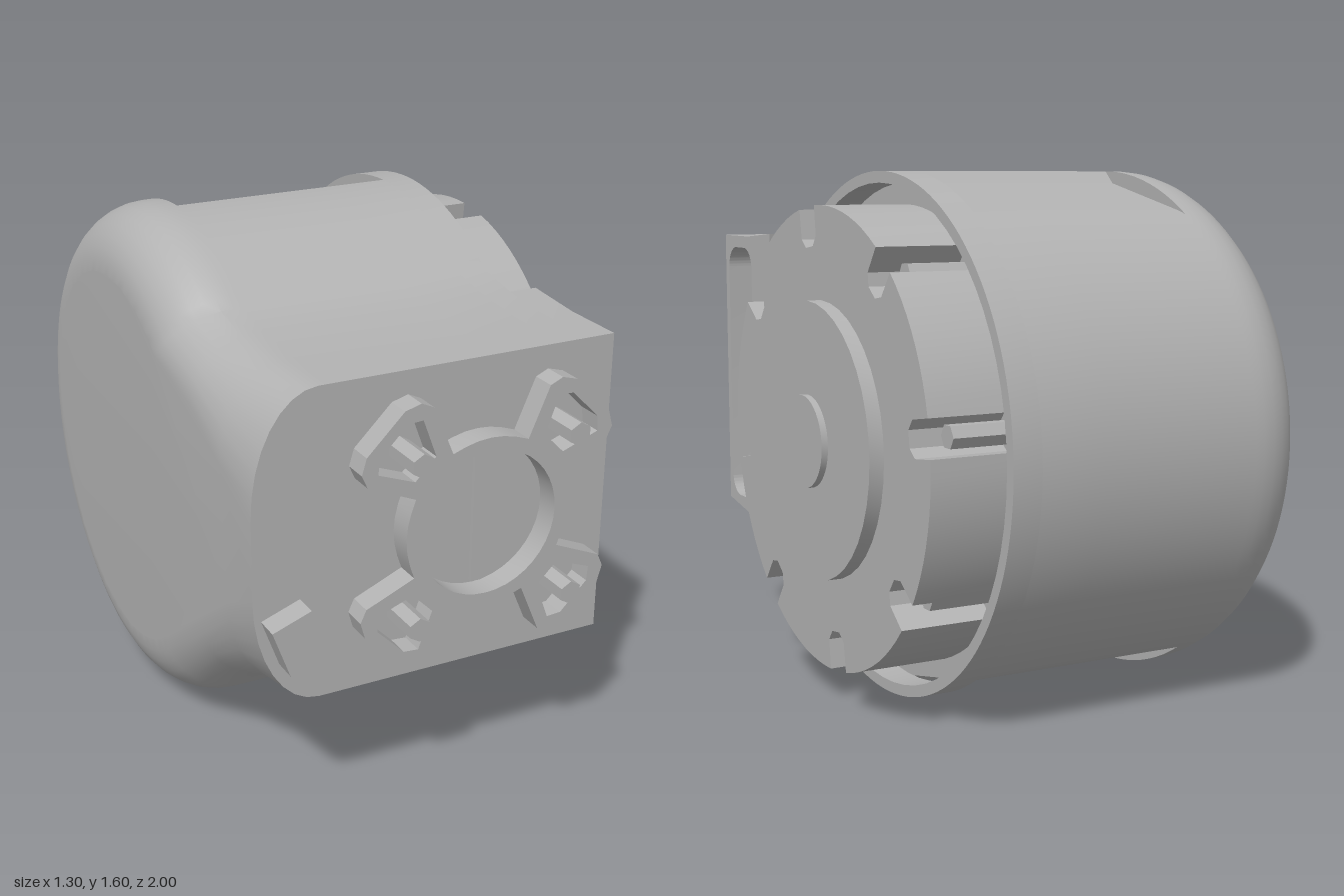
import * as THREE from 'three';
import { toCreasedNormals } from 'three/addons/utils/BufferGeometryUtils.js';

const AXIS_Y = 0.8, AXIS_A = 0.2; // drum axis; side profiles use a = -z
const rad = THREE.MathUtils.degToRad;
const V = (x, y) => new THREE.Vector2(x, y);

// Side profile of the housing: r = drum radius, k = neck height factor, cut = flats on the drum
function profile(r = 0.8, k = 1, cut = false) {
  const neck = (a, y, w) => V(a, 0.91 + (y - 0.91) * (w * k + (1 - w) * r / 0.8));
  const pts = [neck(-0.86, 0.44, 1), neck(-0.68, 0.41, 0.65), neck(-0.48, 0.32, 0.25)];
  for (let d = -129; d <= 129; d += 3) {
    const a = AXIS_A + r * Math.cos(rad(d));
    let h = r * Math.sin(rad(d));
    if (cut && a > 0.24 && a < 0.64) {
      h = Math.sign(h) * Math.min(Math.abs(h), 0.76 - (a - 0.25) * 0.224);
    }
    pts.push(V(a, AXIS_Y + h));
  }
  pts.push(neck(-0.45, 1.395, 0.25), neck(-0.65, 1.38, 0.65), neck(-0.86, 1.38, 1));
  return pts;
}

// Closed loft through equal-length sections [x, points]
function loft(sections) {
  const pos = [], idx = [], n = sections[0][1].length;
  sections.forEach(([x, pts]) => pts.forEach(p => pos.push(p.x, p.y, x)));
  for (let s = 0; s < sections.length - 1; s++) {
    for (let i = 0; i < n; i++) {
      const a = s * n + i, b = s * n + (i + 1) % n;
      idx.push(a, b, b + n, a, b + n, a + n);
    }
  }
  const last = (sections.length - 1) * n;
  for (const [p, q, r] of THREE.ShapeUtils.triangulateShape(sections[0][1], [])) idx.push(r, q, p);
  for (const [p, q, r] of THREE.ShapeUtils.triangulateShape(sections.at(-1)[1], [])) {
    idx.push(last + p, last + q, last + r);
  }
  const g = new THREE.BufferGeometry();
  g.setAttribute('position', new THREE.Float32BufferAttribute(pos, 3));
  g.setIndex(idx);
  return g.rotateY(Math.PI / 2);
}

// Extrude a side profile along x between x0 and x1
function sideSlab(shape, x0, x1) {
  return new THREE.ExtrudeGeometry(shape, { depth: x1 - x0, bevelEnabled: false, curveSegments: 32 })
    .rotateY(Math.PI / 2).translate(x0, 0, 0);
}

const circlePath = (x, y, r) => new THREE.Path().absarc(x, y, r, 0, Math.PI * 2, true);

// Rounded pocket in the side of the neck
function pocketPath() {
  const [l, r, b, t, c] = [-0.83, -0.62, 0.46, 1.34, 0.07];
  const p = new THREE.Path();
  p.absarc(l + c, b + c, c, Math.PI, Math.PI * 1.5);
  p.absarc(r - c, b + c, c, Math.PI * 1.5, Math.PI * 2);
  p.absarc(r - c, t - c, c, 0, Math.PI / 2);
  p.absarc(l + c, t - c, c, Math.PI / 2, Math.PI);
  p.closePath();
  return p;
}

export function createModel() {
  const root = new THREE.Group();
  const grey = new THREE.MeshStandardMaterial({ color: 0xb2b2b2 });
  grey.name = 'plain grey';
  const add = (name, geo, parent = root) => {
    const m = new THREE.Mesh(toCreasedNormals(geo, 0.5), grey);
    m.name = name;
    parent.add(m);
    return m;
  };

  // Solid housing with a rounded closed end
  const sections = [];
  for (let i = 0; i <= 8; i++) {
    const q = rad(90 * (1 - i / 8));
    sections.push([-0.45 - 0.2 * Math.sin(q), profile(0.6 + 0.2 * Math.cos(q), 0.25 + 0.75 * Math.cos(q))]);
  }
  sections.push([-0.42, profile()], [-0.42, profile(0.8, 1, true)], [0.1, profile(0.8, 1, true)]);
  add('housing', loft(sections));

  // Open end: pocketed layer, rim around the disc, raised lug beside the disc
  const pocketed = new THREE.Shape(profile(0.8, 1, true));
  pocketed.holes.push(pocketPath());
  add('pocketWall', sideSlab(pocketed, 0.1, 0.3));

  const rim = new THREE.Shape(profile());
  rim.holes.push(pocketPath(), circlePath(AXIS_A, AXIS_Y, 0.765));
  add('discRim', sideSlab(rim, 0.3, 0.39));

  const lugPts = [V(-0.86, 0.44), V(-0.68, 0.41), V(-0.48, 0.32)];
  for (let d = 210; d >= 150; d -= 4) {
    lugPts.push(V(AXIS_A + 0.79 * Math.cos(rad(d)), AXIS_Y + 0.79 * Math.sin(rad(d))));
  }
  lugPts.push(V(-0.45, 1.395), V(-0.65, 1.38), V(-0.86, 1.38));
  const lug = new THREE.Shape(lugPts);
  lug.holes.push(pocketPath());
  add('sideLug', sideSlab(lug, 0.39, 0.48));

  // Output disc with eight notches, each holding a bolt
  const discPts = [];
  const boltAngles = Array.from({ length: 8 }, (_, i) => 98 + i * 45);
  for (const d of boltAngles) {
    const polar = (r, deg) => V(AXIS_A + r * Math.cos(rad(d + deg)), AXIS_Y + r * Math.sin(rad(d + deg)));
    discPts.push(polar(0.7, -4.5), polar(0.61, -5), polar(0.58, -2.5), polar(0.58, 2.5), polar(0.61, 5));
    for (let s = 4.5; s < 40; s += 4) discPts.push(polar(0.7, s));
  }
  add('outputDisc', sideSlab(new THREE.Shape(discPts), 0.3, 0.585));

  const discBolts = new THREE.Group();
  discBolts.name = 'discBolts';
  root.add(discBolts);
  for (const d of boltAngles) {
    const bolt = add('discBolt', new THREE.CylinderGeometry(0.036, 0.036, 0.2, 6).rotateZ(Math.PI / 2), discBolts);
    bolt.position.set(0.4, AXIS_Y + 0.64 * Math.sin(rad(d)), -AXIS_A - 0.64 * Math.cos(rad(d)));
  }

  // Stepped hub
  const hub = (name, r, x0, x1) => add(name,
    new THREE.CylinderGeometry(r, r, x1 - x0, 40).rotateZ(-Math.PI / 2)
      .translate((x0 + x1) / 2, AXIS_Y, -AXIS_A));
  hub('hub', 0.42, 0.57, 0.63);
  hub('hubCap', 0.14, 0.62, 0.65);

  // Four-lobed front flange
  const flange = new THREE.Group();
  flange.name = 'frontFlange';
  flange.position.set(0.04, 0.91, 0);
  root.add(flange);
  const outline = [], holes = [circlePath(0, 0, 0.22)];
  for (let i = 0; i < 4; i++) {
    const c = rad(45 + 90 * i);
    const turn = ([u, v]) => V(u, v).rotateAround(V(0, 0), c);
    outline.push(...[[0.25, -0.08], [0.4, -0.14], [0.44, -0.125], [0.465, -0.08],
      [0.465, 0.08], [0.44, 0.125], [0.4, 0.14], [0.25, 0.08]].map(turn));
    for (let d = 27; d <= 63; d += 9) outline.push(V(0.26, 0).rotateAround(V(0, 0), c + rad(d)));
    holes.push(new THREE.Path([[0.29, -0.045], [0.29, 0.045], [0.4, 0.095], [0.43, 0.06],
      [0.43, -0.06], [0.4, -0.095]].map(turn)));
    // Bolt through the lobe, reaching into the pocket
    const p = turn([0.35, 0]);
    add('flangeBolt', new THREE.CylinderGeometry(0.036, 0.036, 0.26, 6).rotateX(Math.PI / 2)
      .translate(p.x, p.y, 0.87), flange);
  }
  const flangeShape = new THREE.Shape(outline);
  flangeShape.holes.push(...holes);
  add('flangePlate', new THREE.ExtrudeGeometry(flangeShape, { depth: 0.08, bevelEnabled: false, curveSegments: 20 })
    .translate(0, 0, 0.855), flange);
  add('flangeSlotBar', new THREE.BoxGeometry(0.035, 0.42, 0.02).translate(0.005, 0, 0.865), flange);
  add('innerBoss', new THREE.CylinderGeometry(0.21, 0.21, 0.16, 32).rotateX(Math.PI / 2)
    .translate(0, 0, 0.76), flange);

  // Small tilted locating block
  const block = add('locatingBlock', new THREE.BoxGeometry(0.125, 0.155, 0.09));
  block.position.set(-0.54, 0.67, 0.89);
  block.rotation.z = rad(20);

  return root;
}
